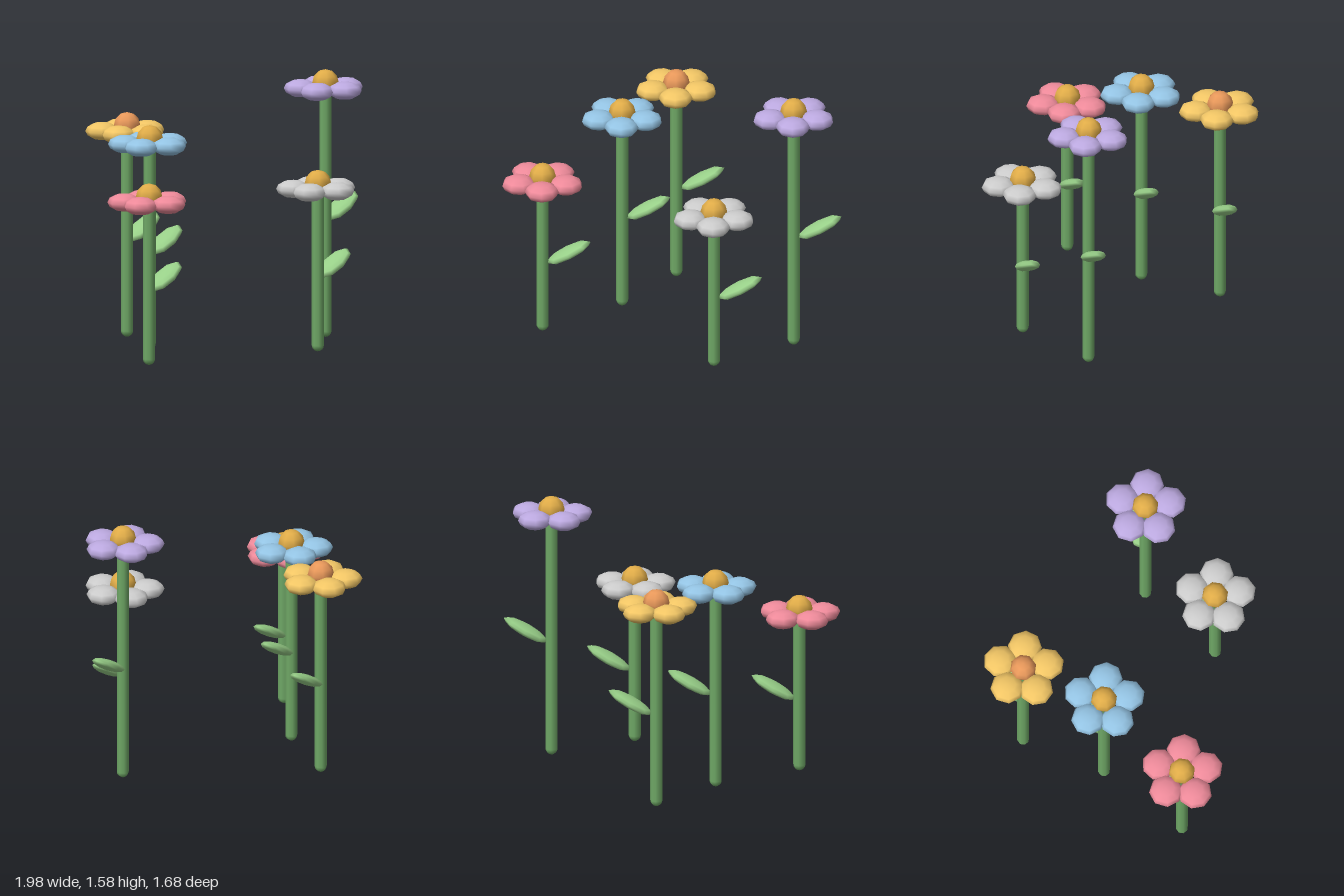
import * as THREE from 'three';

const material = (color) => new THREE.MeshStandardMaterial({ color });

// Shared low-poly ball, scaled into petals, domes and leaves
const ball = new THREE.SphereGeometry(1, 8, 6);
const STEM_RADIUS = 0.036;
const stemMaterial = material(0x6fa866);
const leafMaterial = material(0x98cf88);

function addBall(parent, name, mat, scale, position) {
  const mesh = new THREE.Mesh(ball, mat);
  mesh.name = name;
  mesh.scale.set(...scale);
  mesh.position.set(...position);
  parent.add(mesh);
  return mesh;
}

function createFlower({ x, z, height, petal, centre }) {
  const flower = new THREE.Group();
  flower.name = 'flower';
  flower.position.set(x, 0, z);

  // Round-ended stem reaching into the flower head
  const stem = new THREE.Mesh(
    new THREE.CapsuleGeometry(STEM_RADIUS, height - 2 * STEM_RADIUS, 4, 8), stemMaterial);
  stem.name = 'stem';
  stem.position.y = height / 2;
  flower.add(stem);

  // Leaf rising towards +x
  const leaf = addBall(flower, 'leaf', leafMaterial,
    [0.146, 0.032, 0.075], [0.152, height / 2 + 0.023, 0]);
  leaf.rotation.z = 0.5;

  // Ring of five flat petals, the first one facing the front
  const head = new THREE.Group();
  head.name = 'flowerHead';
  head.position.y = height;
  flower.add(head);
  const petalMaterial = material(petal);
  for (let i = 0; i < 5; i++) {
    const a = (i / 5) * Math.PI * 2;
    const mesh = addBall(head, 'petal', petalMaterial, [0.1, 0.053, 0.1],
      [Math.sin(a) * 0.144, 0, Math.cos(a) * 0.144]);
    mesh.rotation.y = a;
  }

  // Domed centre
  addBall(head, 'flowerCentre', material(centre), [0.078, 0.078, 0.078], [0, 0.035, 0]);
  return flower;
}

export function createModel() {
  const model = new THREE.Group();
  model.name = 'flowers';
  const gold = 0xe0ac48;
  const flowers = [
    { x: -0.76, z: 0.14, height: 0.96, petal: 0xee8a9a, centre: gold },
    { x: -0.305, z: -0.215, height: 1.215, petal: 0x94c4e4, centre: gold },
    { x: 0, z: -0.625, height: 1.215, petal: 0xf2c665, centre: 0xe8985a },
    { x: 0.255, z: 0.595, height: 0.96, petal: 0xcccccc, centre: gold },
    { x: 0.712, z: 0.29, height: 1.47, petal: 0xbca9e0, centre: gold },
  ];
  for (const f of flowers) model.add(createFlower(f));
  return model;
}
